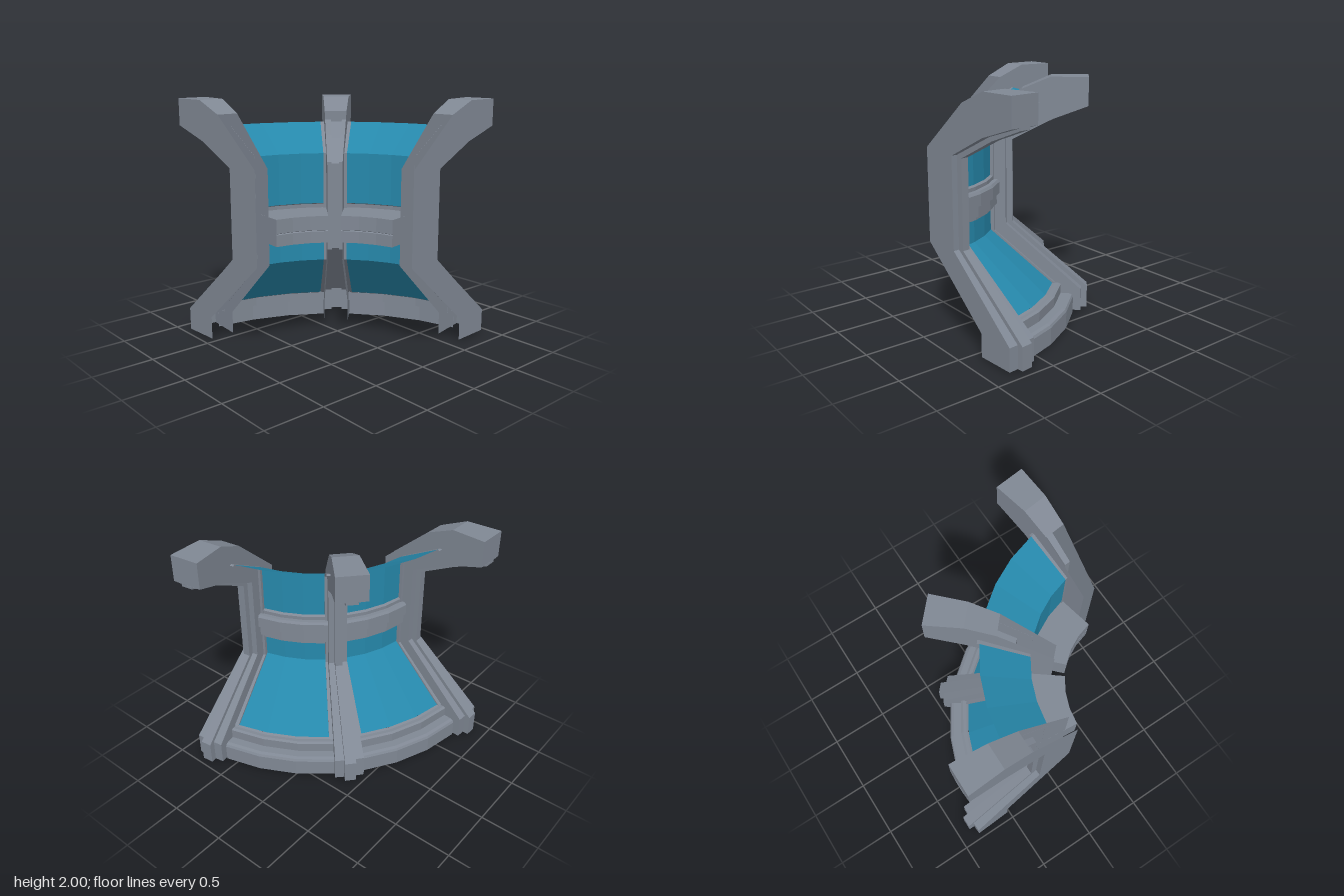
import * as THREE from 'three';

// The wall curves around this vertical axis
const CX = -0.86, CZ = 0.94;
const MID = 48.2, STEP = 40.9;

const metal = new THREE.MeshStandardMaterial({ color: 0x808894, side: THREE.DoubleSide, flatShading: true });
metal.name = 'grey metal';
const glass = new THREE.MeshStandardMaterial({ color: 0x2688ab, side: THREE.DoubleSide, flatShading: true });
glass.name = 'blue glass';

// Point at radius r, height y and angle a (degrees) around the axis
function at([r, y], a) {
  const t = THREE.MathUtils.degToRad(a);
  return [CX + r * Math.cos(t), y, CZ - r * Math.sin(t)];
}

function toMesh(pos, name, material) {
  const g = new THREE.BufferGeometry();
  g.setAttribute('position', new THREE.Float32BufferAttribute(pos, 3));
  g.computeVertexNormals();
  const m = new THREE.Mesh(g, material);
  m.name = name;
  return m;
}

// Flat radial plate at angle a; profile runs counterclockwise in (r, y)
function plate(pos, profile, a, flip) {
  const pts = profile.map(([r, y]) => new THREE.Vector2(r, y));
  for (const [i, j, k] of THREE.ShapeUtils.triangulateShape(pts, [])) {
    for (const n of flip ? [i, k, j] : [i, j, k]) pos.push(...at(profile[n], a));
  }
}

// Sweep a profile between two angles
function strip(pos, profile, a0, a1, segs, closed = false) {
  const n = profile.length;
  for (let s = 0; s < segs; s++) {
    const b0 = a0 + (a1 - a0) * s / segs, b1 = a0 + (a1 - a0) * (s + 1) / segs;
    for (let i = 0; i < (closed ? n : n - 1); i++) {
      const p = profile[i], q = profile[(i + 1) % n];
      pos.push(...at(p, b0), ...at(p, b1), ...at(q, b0));
      pos.push(...at(q, b0), ...at(p, b1), ...at(q, b1));
    }
  }
}

function sheet(name, profile, a0, a1, segs, material) {
  const pos = [];
  strip(pos, profile, a0, a1, segs);
  return toMesh(pos, name, material);
}

function solid(name, profile, a0, a1, segs) {
  const pos = [];
  strip(pos, profile, a0, a1, segs, true);
  plate(pos, profile, a0, false);
  plate(pos, profile, a1, true);
  return toMesh(pos, name, metal);
}

// Rib profiles as [radius, height], from the foot upwards
const ribBand = [[1.78, 0.02], [1.78, 0.21], [1.14, 0.77], [1.14, 1.5], [1.5, 1.68], [1.81, 1.78]];
const ribRidge = [[1.83, 0.02], [1.83, 0.21], [1.19, 0.77], [1.19, 1.48], [1.52, 1.65], [1.81, 1.76]];
const ribTop = [[1.81, 1.78], [1.81, 2], [1.51, 2], [1.275, 1.9]];
const ribInner = [[0.83, 1.52], [0.83, 0.77], [1.46, 0.21], [1.46, 0.02]];

// Open-backed rib: two sides, outer bands, raised centre ridge
function rib(angle) {
  const g = new THREE.Group();
  g.name = 'rib';
  const W = 4, R = 1.5;
  const side = [...ribBand, ...ribTop.slice(1), ...ribInner];
  const sides = [], bands = [], ridge = [];
  plate(sides, side, angle - W, false);
  plate(sides, side, angle + W, true);
  strip(bands, ribBand, angle - W, angle - R, 1);
  strip(bands, ribBand, angle + R, angle + W, 1);
  strip(bands, ribTop, angle - W, angle + W, 1);
  strip(ridge, [...ribRidge, [1.81, 1.78]], angle - R, angle + R, 1);
  const step = [...ribRidge, ...[...ribBand].reverse()];
  plate(ridge, step, angle - R, false);
  plate(ridge, step, angle + R, true);
  g.add(toMesh(sides, 'ribSides', metal), toMesh(bands, 'ribOuterBands', metal), toMesh(ridge, 'ribRidge', metal));
  return g;
}

// Window bay between two ribs
const lowerGlass = [[1.54, 0.27], [1.016, 0.72], [1.016, 0.9]];
const upperGlass = [[1.016, 1.19], [1.016, 1.59], [1.4, 1.8]];
const trimOuter = [[1.56, 0.27], [1.045, 0.715], [1.045, 1.58], [1.42, 1.795]];
const trimInner = [[1.4, 1.8], [1.016, 1.59], [1.016, 0.72], [1.54, 0.27]];
const bandProfile = [[1.016, 0.9], [1.04, 0.91], [1.04, 1.18], [1.016, 1.19]];
const ledgeProfile = [
  [0.72, 0.94], [1.065, 0.94], [1.065, 1.03], [1.09, 1.035], [1.09, 1.13], [1.075, 1.15],
  [0.72, 1.15], [0.72, 1.04], [0.73, 1.035], [0.72, 1.03],
];
const sillProfile = [
  [1.715, 0], [1.715, 0.14], [1.705, 0.16], [1.68, 0.17], [1.61, 0.17], [1.61, 0.25], [1.59, 0.26],
  [1.56, 0.26], [1.54, 0.27],
];

function bay(angle) {
  const g = new THREE.Group();
  g.name = 'windowBay';
  const G = 15.2, E = 16.5, SEGS = 3;
  g.add(
    sheet('lowerWindow', lowerGlass, angle - G, angle + G, SEGS, glass),
    sheet('upperWindow', upperGlass, angle - G, angle + G, SEGS, glass),
    sheet('waistBand', bandProfile, angle - E, angle + E, SEGS, metal),
    sheet('baseSill', sillProfile, angle - E, angle + E, SEGS, metal),
    solid('ledge', ledgeProfile, angle - E, angle + E, SEGS),
  );
  // Frame strips beside the glass
  const trim = [...trimOuter, ...trimInner];
  g.add(solid('windowTrim', trim, angle - E, angle - G, 1), solid('windowTrim', trim, angle + G, angle + E, 1));
  return g;
}

export function createModel() {
  const model = new THREE.Group();
  model.name = 'curvedWindowWall';
  for (const i of [-1, 0, 1]) model.add(rib(MID + i * STEP));
  for (const i of [-0.5, 0.5]) model.add(bay(MID + i * STEP));
  return model;
}
